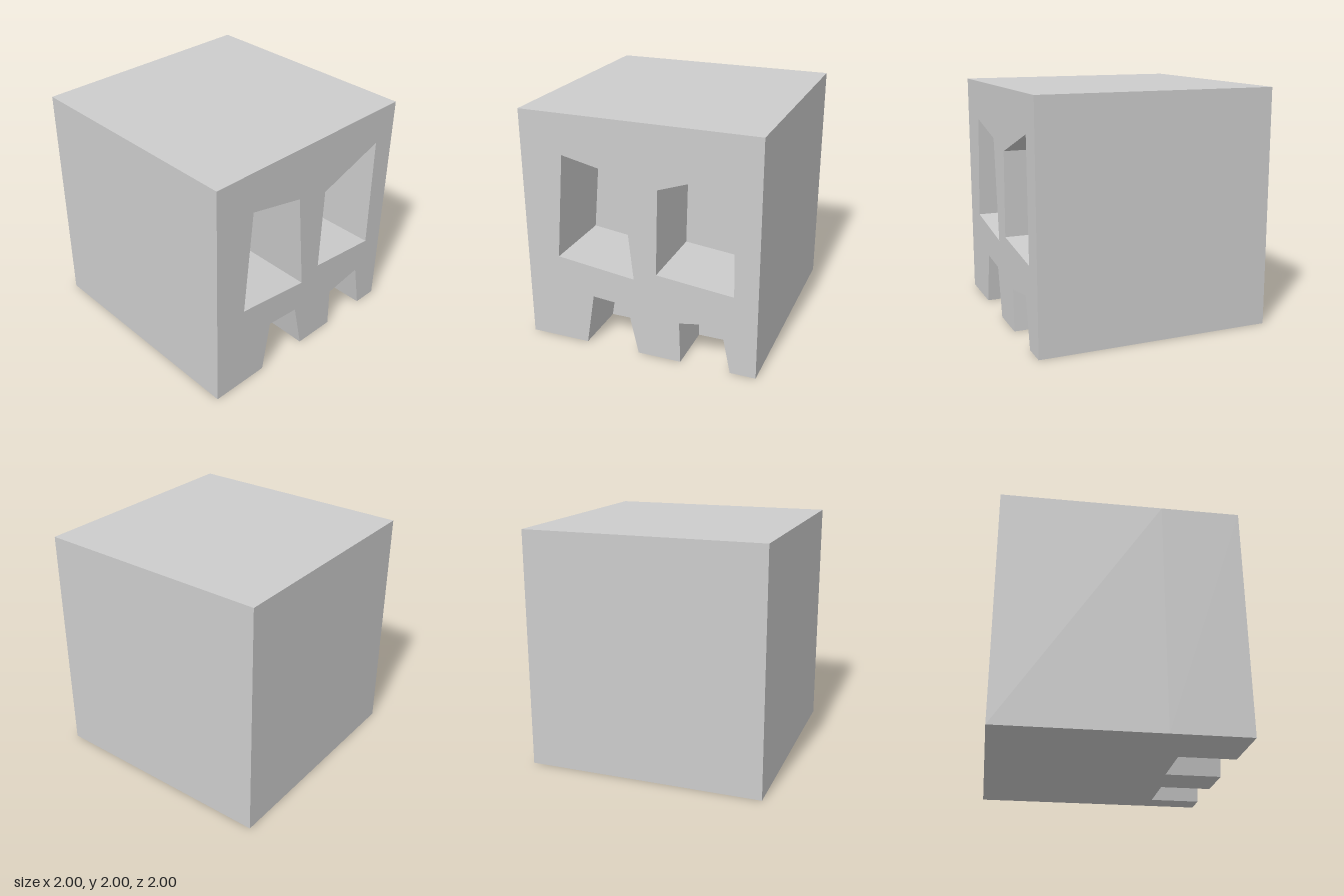
import * as THREE from 'three';

// Outlines on the +x side as [z, y] points
const WINDOWS = [
  [[0.715, 0.765], [0.635, 1.66], [0.13, 1.55], [0.04, 0.68]],
  [[-0.155, 0.757], [-0.175, 1.483], [-0.79, 1.695], [-0.805, 0.69]],
];
const NOTCHES = [
  { depth: 0.48, points: [[0.485, 0], [0.41, 0.45], [0.105, 0.425], [0.012, 0]] },
  { depth: 0.44, points: [[-0.36, 0], [-0.35, 0.36], [-0.7, 0.42], [-0.785, 0]] },
];
const WINDOW_DEPTH = 0.66;

const toVectors = (points) => points.map(([z, y]) => new THREE.Vector2(-z, y));

export function createModel() {
  const group = new THREE.Group();
  const grey = new THREE.MeshStandardMaterial({ color: 0xcccccc });
  grey.name = 'plain grey';

  const add = (name, geometry) => {
    const mesh = new THREE.Mesh(geometry, grey);
    mesh.name = name;
    group.add(mesh);
  };

  // Extrudes a side outline along x, from x0 to x1
  const extrudeSide = (shape, x0, x1) =>
    new THREE.ExtrudeGeometry(shape, { depth: x1 - x0, bevelEnabled: false })
      .rotateY(Math.PI / 2)
      .translate(x0, 0, 0);

  // Solid body behind the openings
  const wallX = 1 - WINDOW_DEPTH;
  add('body', new THREE.BoxGeometry(wallX + 1, 2, 2).translate((wallX - 1) / 2, 1, 0));

  // Thick side wall with two windows and two notches in its lower edge
  const wall = new THREE.Shape(toVectors([
    [1, 0], ...NOTCHES.flatMap((n) => n.points), [-1, 0], [-1, 2], [1, 2],
  ]));
  WINDOWS.forEach((w) => wall.holes.push(new THREE.Path(toVectors(w))));
  add('sideWall', extrudeSide(wall, wallX, 1));

  // Back walls of the shallower notches
  NOTCHES.forEach((n, i) => {
    add(`notchBack${i + 1}`, extrudeSide(new THREE.Shape(toVectors(n.points)), wallX, 1 - n.depth));
  });

  // Small raised corner inside the rear notch
  const corner = new THREE.Shape(toVectors([[-0.43, 0.374], [-0.7, 0.42], [-0.752, 0.163]]));
  add('notchCorner', extrudeSide(corner, 0.56, 0.59));

  return group;
}
